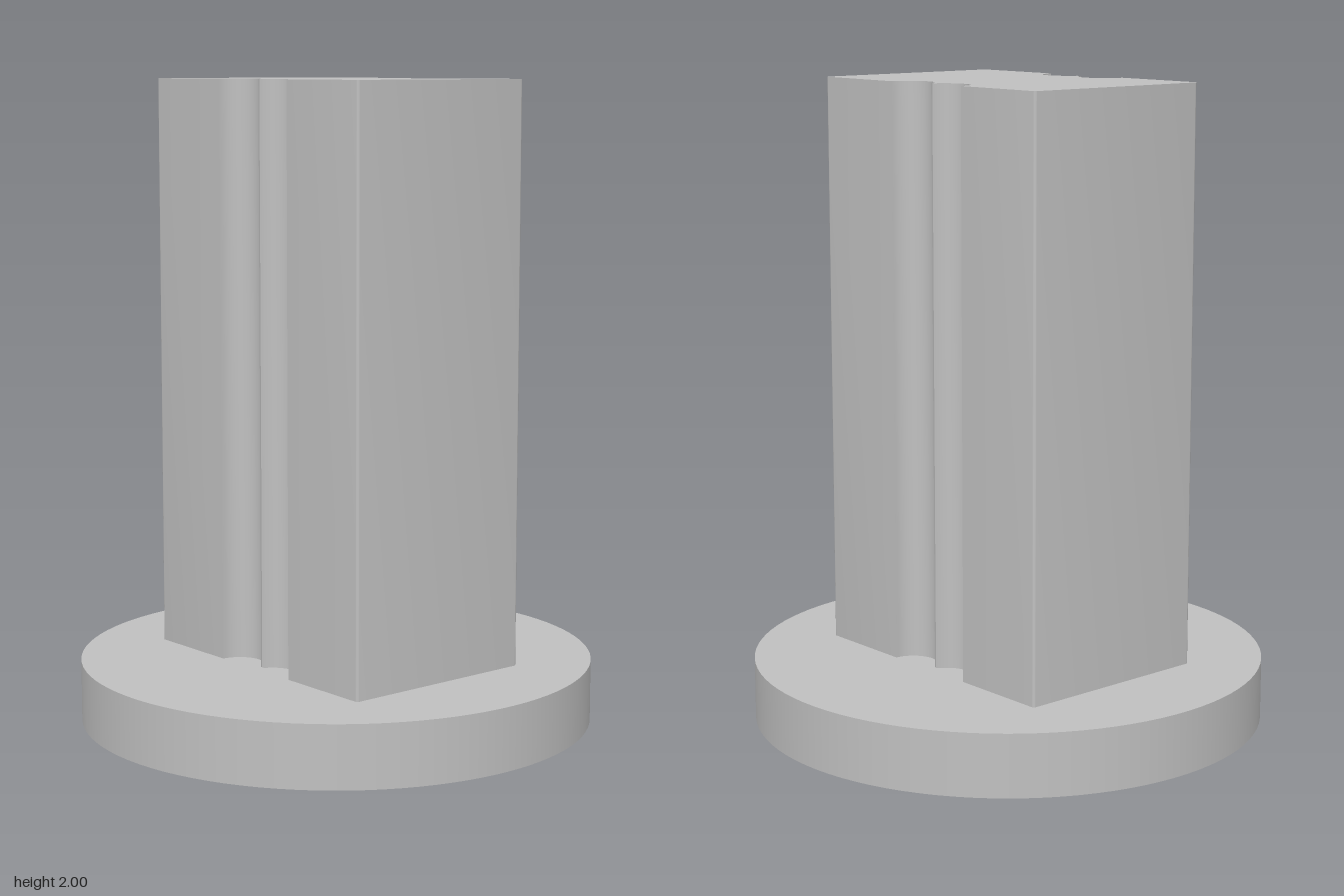
import * as THREE from 'three';
import { toCreasedNormals } from 'three/addons/utils/BufferGeometryUtils.js';

const HALF_W = 0.325, HALF_D = 0.485, BASE_R = 0.805, BASE_H = 0.195, HEIGHT = 2;
const GROOVE_R = 0.08, GROOVE_Z = 0.083, RIDGE_X = 0.295, CORNER = 0.008;

// Outline of one side (+x), running from -depth to +depth, with two round grooves
function sideOutline() {
  const pts = [];
  const arc = (cx, cy, r, a0, a1, n) => {
    for (let i = 0; i <= n; i++) {
      const a = a0 + (a1 - a0) * i / n;
      pts.push(new THREE.Vector2(cx + r * Math.cos(a), cy + r * Math.sin(a)));
    }
  };
  const end = Math.acos((RIDGE_X - HALF_W) / GROOVE_R); // angle where a groove meets the ridge
  arc(HALF_W - CORNER, -HALF_D + CORNER, CORNER, -Math.PI / 2, 0, 4);
  arc(HALF_W, -GROOVE_Z, GROOVE_R, Math.PI * 1.5, end, 20);
  pts.push(new THREE.Vector2(RIDGE_X + 0.003, 0));
  arc(HALF_W, GROOVE_Z, GROOVE_R, -end, -Math.PI * 1.5, 20);
  arc(HALF_W - CORNER, HALF_D - CORNER, CORNER, 0, Math.PI / 2, 4);
  return pts;
}

export function createModel() {
  const group = new THREE.Group();
  const grey = new THREE.MeshStandardMaterial({ color: 0xc0c0c0 });
  grey.name = 'light grey';

  // Round base plate
  const base = new THREE.Mesh(new THREE.CylinderGeometry(BASE_R, BASE_R, BASE_H, 96), grey);
  base.name = 'base';
  base.position.y = BASE_H / 2;
  group.add(base);

  // Grooved block: the outline plus its half-turn copy, extruded upwards
  const side = sideOutline();
  const outline = [...side, ...side.map(p => new THREE.Vector2(-p.x, -p.y))];
  const geo = new THREE.ExtrudeGeometry(new THREE.Shape(outline), {
    depth: HEIGHT - BASE_H, bevelEnabled: false,
  });
  geo.rotateX(-Math.PI / 2);
  const block = new THREE.Mesh(toCreasedNormals(geo, 0.6), grey);
  block.name = 'groovedBlock';
  block.position.y = BASE_H;
  group.add(block);

  return group;
}
